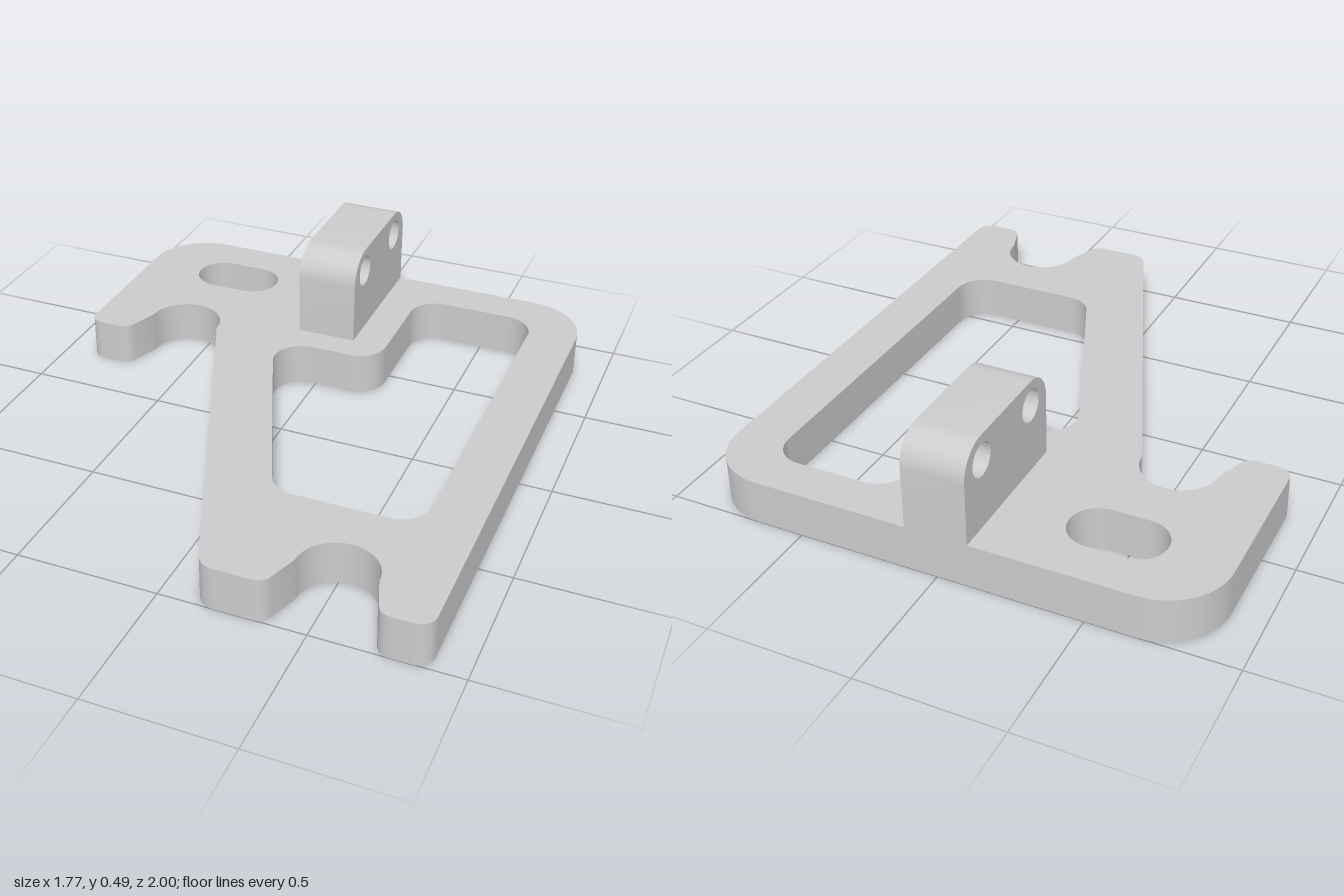
import * as THREE from 'three';
import { toCreasedNormals } from 'three/addons/utils/BufferGeometryUtils.js';

const material = new THREE.MeshStandardMaterial({ color: 0xcccccc });

// Polygon from [x, y, radius] corners, each replaced by a tangent arc
function roundedPoints(corners, steps = 14) {
  const out = [];
  const add = (p) => {
    if (!out.some((q) => q.distanceTo(p) < 1e-4)) out.push(p);
  };
  const n = corners.length;
  const at = (i) => new THREE.Vector2(corners[(i + n) % n][0], corners[(i + n) % n][1]);
  for (let i = 0; i < n; i++) {
    const c = at(i), r = corners[i][2];
    if (!r) { add(c); continue; }
    const a = at(i - 1).sub(c).normalize();
    const b = at(i + 1).sub(c).normalize();
    const half = Math.acos(a.dot(b)) / 2;
    const center = a.clone().add(b).normalize().multiplyScalar(r / Math.sin(half)).add(c);
    const start = a.clone().multiplyScalar(r / Math.tan(half)).add(c).sub(center);
    const sweep = (Math.PI - 2 * half) * (a.cross(b) > 0 ? -1 : 1);
    for (let k = 0; k <= steps; k++) {
      add(start.clone().rotateAround(new THREE.Vector2(), sweep * k / steps).add(center));
    }
  }
  return out;
}

function extrude(outline, holes, depth) {
  const shape = new THREE.Shape(outline);
  shape.holes = holes;
  return new THREE.ExtrudeGeometry(shape, { depth, bevelEnabled: false, curveSegments: 32 });
}

// Round-topped notch with flared mouth, listed from its +x side to its -x side
function notch(x, mouthZ, topZ, flareRight, flareLeft) {
  const r = 0.135;
  return [
    ...flareRight.map((f) => [f, mouthZ, 0.05]),
    [x + r, topZ + r, 0],
    [x + r, topZ, r], [x - r, topZ, r],
    [x - r, topZ + r, 0],
    ...flareLeft.map((f) => [f, mouthZ, 0.05]),
  ];
}

export function createModel() {
  const group = new THREE.Group();
  const thickness = 0.157;

  // Plate outline in (x, z)
  const outline = roundedPoints([
    [-0.888, -1, 0.22], [0.885, -1, 0.22], [0.885, 1, 0.055],
    ...notch(0.54, 1, 0.727, [0.722], [0.358]),
    [0.145, 1, 0.07],
    ...notch(-0.543, -0.205, -0.472, [], [-0.727]),
    [-0.888, -0.205, 0.05],
  ]);
  const windowHole = new THREE.Path(roundedPoints([
    [0.24, -0.85, 0.108], [0.708, -0.85, 0.108], [0.708, 0.555, 0.108],
    [0.198, 0.555, 0.108], [-0.175, -0.341, 0.106], [0.24, -0.341, 0.108],
  ]));
  const slot = new THREE.Path(roundedPoints([
    [-0.668, -0.852, 0.1], [-0.335, -0.852, 0.1], [-0.335, -0.65, 0.1], [-0.668, -0.65, 0.1],
  ]));
  const plateGeometry = extrude(outline, [windowHole, slot], thickness);
  plateGeometry.rotateX(Math.PI / 2).translate(0, thickness, 0);
  const plate = new THREE.Mesh(toCreasedNormals(plateGeometry, 0.3), material);
  plate.name = 'basePlate';
  group.add(plate);

  // Upright lug in (-z, y), with two cross holes
  const lugOutline = roundedPoints([
    [0.445, thickness, 0], [1, thickness, 0], [1, 0.49, 0.11], [0.445, 0.49, 0.11],
  ]);
  const lugHoles = [0.556, 0.888].map((u) =>
    new THREE.Path().absarc(u, 0.402, 0.058, 0, Math.PI * 2, true));
  const lugGeometry = extrude(lugOutline, lugHoles, 0.22);
  lugGeometry.rotateY(Math.PI / 2).translate(-0.11, 0, 0);
  const lug = new THREE.Mesh(toCreasedNormals(lugGeometry, 0.3), material);
  lug.name = 'mountingLug';
  group.add(lug);

  return group;
}
